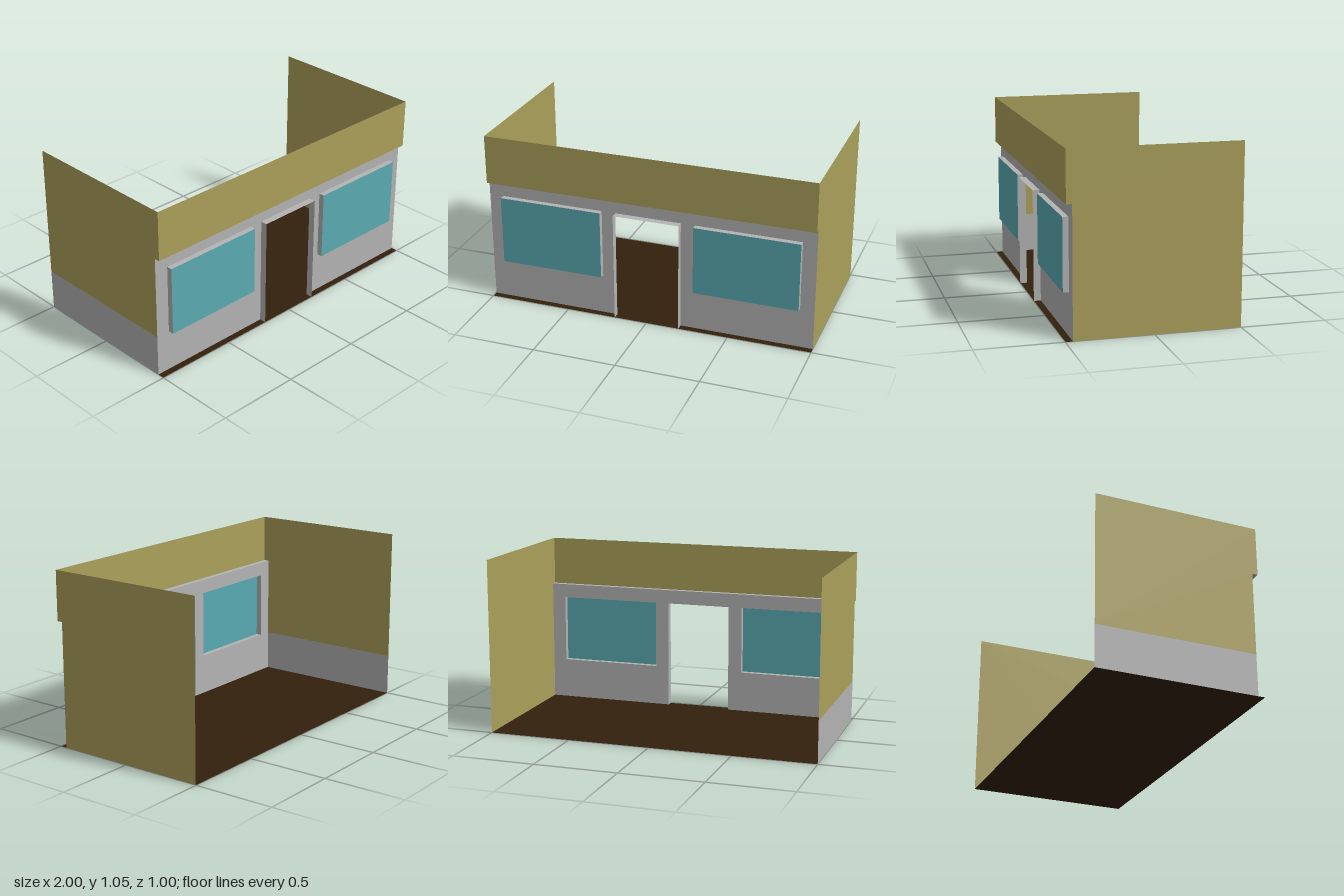
import * as THREE from 'three';

const mat = (name, color) =>
  new THREE.MeshStandardMaterial({ name, color, side: THREE.DoubleSide });

export function createModel() {
  const olive = mat('olive', 0xaba05b);
  const grey = mat('grey', 0xb3b3b3);
  const glass = mat('glass', 0x5aaab2);
  const brown = mat('brown', 0x33200e);

  const BACK = -0.4985, EDGE = 0.4985;       // floor extent in z
  const WALL = 0.458, BAND = 0.492;          // planes of the front wall and fascia
  const BAND_Y = 0.753, TOP = 1.05;
  const SILL = 0.25, HEAD = 0.667;           // window sill, shared opening head

  const group = new THREE.Group();
  const add = (name, geometry, material) => {
    const mesh = new THREE.Mesh(geometry, material);
    mesh.name = name;
    group.add(mesh);
    return mesh;
  };
  const points = (list) => list.map(([a, b]) => new THREE.Vector2(a, b));

  // Sheets: facing front, lying flat, or standing sideways
  const frontSheet = (x0, x1, y0, y1, z) =>
    new THREE.PlaneGeometry(x1 - x0, y1 - y0).translate((x0 + x1) / 2, (y0 + y1) / 2, z);
  const flatSheet = (x0, x1, z0, z1, y) =>
    new THREE.PlaneGeometry(x1 - x0, z1 - z0).rotateX(-Math.PI / 2)
      .translate((x0 + x1) / 2, y, (z0 + z1) / 2);
  const sideSheet = (x, y0, y1, z0, z1) =>
    new THREE.PlaneGeometry(z1 - z0, y1 - y0).rotateY(Math.PI / 2)
      .translate(x, (y0 + y1) / 2, (z0 + z1) / 2);
  // Outline given as (z, y), set at x and facing outwards
  const sideShape = (x, list) => {
    const outline = list.map(([z, y]) => [-Math.sign(x) * z, y]);
    return new THREE.ShapeGeometry(new THREE.Shape(points(outline)))
      .rotateY(Math.sign(x) * Math.PI / 2).translate(x, 0, 0);
  };

  // Floor
  add('floor', flatSheet(-1, 1, BACK, EDGE, 0), brown);

  // Front wall with a doorway and two window openings
  const wall = new THREE.Shape(points([
    [-1, 0], [-0.2, 0], [-0.2, HEAD], [0.2, HEAD], [0.2, 0], [1, 0], [1, BAND_Y], [-1, BAND_Y],
  ]));
  for (const s of [-1, 1]) {
    const a = s * 0.285, b = s * 0.915;
    wall.holes.push(new THREE.Path(points([[a, SILL], [a, HEAD], [b, HEAD], [b, SILL]])));
  }
  add('frontWall', new THREE.ShapeGeometry(wall).translate(0, 0, WALL), grey);

  // Fascia band and the ledge joining it to the wall
  add('fascia', frontSheet(-1, 1, BAND_Y, TOP, BAND), olive);
  add('fasciaLedge', flatSheet(-1, 1, WALL, BAND, BAND_Y), grey);

  // Projecting windows
  for (const s of [-1, 1]) {
    const x0 = s > 0 ? 0.285 : -0.915, x1 = x0 + 0.63;
    add('windowGlass', frontSheet(x0, x1, SILL, HEAD, BAND), glass);
    for (const x of [x0, x1]) add('windowJamb', sideSheet(x, SILL, HEAD, WALL, BAND), grey);
    for (const y of [SILL, HEAD]) add('windowRail', flatSheet(x0, x1, WALL, BAND, y), grey);
  }

  // Door frame
  for (const x of [-0.2, 0.2]) add('doorJamb', sideSheet(x, 0, HEAD, WALL, 0.5), grey);
  add('doorHead', flatSheet(-0.2, 0.2, WALL, 0.5, HEAD), grey);

  // Side walls, notched under the fascia; the one at -x has a grey base
  const sideOutline = (y0) => [
    [BACK, y0], [WALL, y0], [WALL, BAND_Y], [BAND, BAND_Y], [BAND, TOP], [BACK, TOP],
  ];
  add('leftWall', sideShape(1, sideOutline(0)), olive);
  add('rightWall', sideShape(-1, sideOutline(SILL)), olive);
  add('rightWallBase', sideSheet(-1, 0, SILL, BACK, WALL), grey);

  return group;
}
